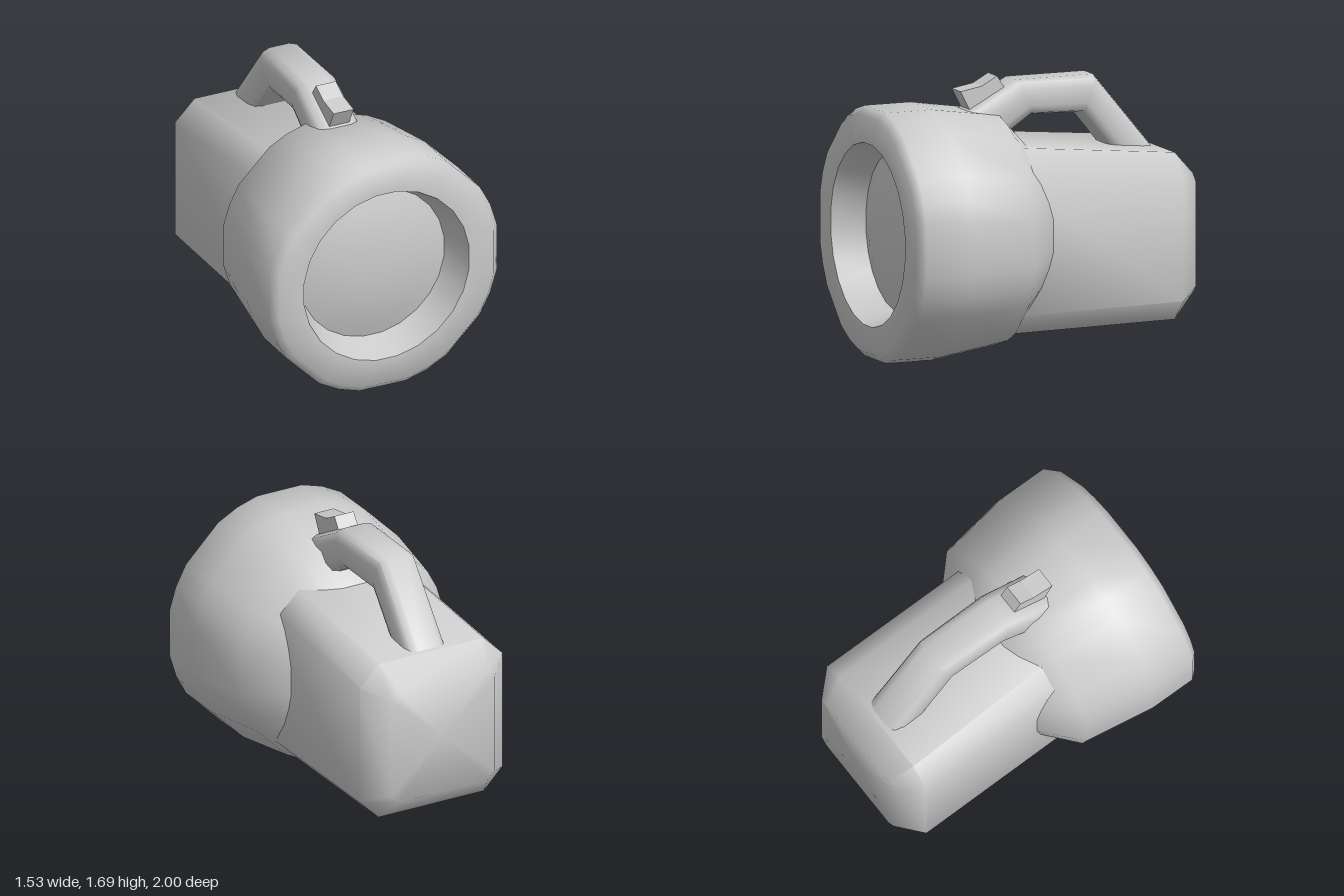
import * as THREE from 'three';
import { toCreasedNormals } from 'three/addons/utils/BufferGeometryUtils.js';

const material = new THREE.MeshStandardMaterial({ color: 0xcccccc });
const CENTRE_Y = 0.765;

// Skin a list of equal-length rings (counter-clockwise seen from the front, running front to back) and cap both ends.
function loft(name, rings) {
  const n = rings[0].length;
  const last = (rings.length - 1) * n;
  const points = rings.flat();
  const index = [];
  for (let i = 0; i < rings.length - 1; i++) {
    for (let j = 0; j < n; j++) {
      const a = i * n + j, b = i * n + (j + 1) % n;
      index.push(a, a + n, b, b, a + n, b + n);
    }
  }
  const middle = (ring) => ring.reduce((s, p) => s.add(p), new THREE.Vector3()).divideScalar(n);
  const front = points.push(middle(rings[0])) - 1;
  const back = points.push(middle(rings[rings.length - 1])) - 1;
  for (let j = 0; j < n; j++) {
    const k = (j + 1) % n;
    index.push(front, j, k, back, last + k, last + j);
  }
  const geometry = new THREE.BufferGeometry().setFromPoints(points);
  geometry.setIndex(index);
  const mesh = new THREE.Mesh(toCreasedNormals(geometry, 1.0), material);
  mesh.name = name;
  return mesh;
}

// Lamp head: lens, recess, rim and bowl, as [radius, z] from the lens outwards and back.
function createHead() {
  const round = [7.5, 22.5, 37.5, 52.5, 67.5, 82.5];
  const faceted = [11.5, 22.3, 33.3, 56.7, 67.7, 78.5];
  const ring = (radius, z, angles) => {
    const r = radius / Math.cos(THREE.MathUtils.degToRad(angles[0]));
    const points = [];
    for (let q = 0; q < 4; q++) {
      for (const a of angles) {
        const t = THREE.MathUtils.degToRad(a + q * 90);
        points.push(new THREE.Vector3(r * Math.cos(t), CENTRE_Y + r * Math.sin(t), z));
      }
    }
    return points;
  };
  const inner = [[0.12, 0.875], [0.25, 0.86], [0.37, 0.835], [0.485, 0.8], [0.555, 1]];
  const outer = [[0.72, 1], [0.765, 0.95], [0.765, 0.65], [0.697, 0.2], [0.48, -0.01], [0.4, -0.05]];
  return loft('lampHead', [
    ...inner.map(([r, z]) => ring(r, z, round)),
    ...outer.map(([r, z]) => ring(r, z, faceted)),
  ]);
}

// Battery case: bevelled rectangles, as [z, half width, bottom, top, bevel].
function createCase() {
  const sections = [
    [0.35, 0.475, 0.157, 1.31, 0.13],
    [-0.855, 0.497, 0.18, 1.2, 0.13],
    [-1, 0.36, 0.325, 1.055, 0.05],
  ];
  return loft('batteryCase', sections.map(([z, w, y0, y1, c]) => [
    [w, y0 + c], [w, y1 - c], [w - c, y1], [c - w, y1],
    [-w, y1 - c], [-w, y0 + c], [c - w, y0], [w - c, y0],
  ].map(([x, y]) => new THREE.Vector3(x, y, z))));
}

// Carrying handle: a rounded section between an upper and a lower line, as [z, y] pairs.
function createHandle() {
  const quarter = [[0.14, 0.45], [0.12, 0.87], [0.07, 1]];
  const mirrored = quarter.slice().reverse();
  const section = [
    ...quarter,
    ...mirrored.map(([x, v]) => [-x, v]),
    ...quarter.map(([x, v]) => [-x, -v]),
    ...mirrored.map(([x, v]) => [x, -v]),
  ];
  const stations = [
    { upper: [0.42, 1.465], lower: [0.28, 1.24], width: 1.06 },
    { upper: [0.06, 1.66], lower: [-0.03, 1.445], width: 1 },
    { upper: [-0.45, 1.66], lower: [-0.36, 1.435], width: 0.95 },
    { upper: [-0.88, 1.14], lower: [-0.62, 1.12], width: 0.95 },
  ];
  return loft('handle', stations.map(({ upper, lower, width }) => section.map(([x, v]) => {
    const t = (1 - v) / 2;
    return new THREE.Vector3(
      x * width,
      THREE.MathUtils.lerp(upper[1], lower[1], t),
      THREE.MathUtils.lerp(upper[0], lower[0], t));
  })));
}

// Thumb switch: a dished side profile extruded across the handle.
function createSwitch() {
  const width = 0.135;
  const profile = [[0.42, 1.61], [0.28, 1.635], [0.18, 1.69], [0.13, 1.615], [0.36, 1.495]];
  const shape = new THREE.Shape(profile.map(([z, y]) => new THREE.Vector2(-z, y)));
  const geometry = new THREE.ExtrudeGeometry(shape, { depth: width, bevelEnabled: false });
  geometry.translate(0, 0, -width / 2);
  geometry.rotateY(Math.PI / 2);
  const mesh = new THREE.Mesh(geometry, material);
  mesh.name = 'thumbSwitch';
  return mesh;
}

export function createModel() {
  const model = new THREE.Group();
  model.name = 'handLamp';
  model.add(createHead(), createCase(), createHandle(), createSwitch());
  return model;
}
